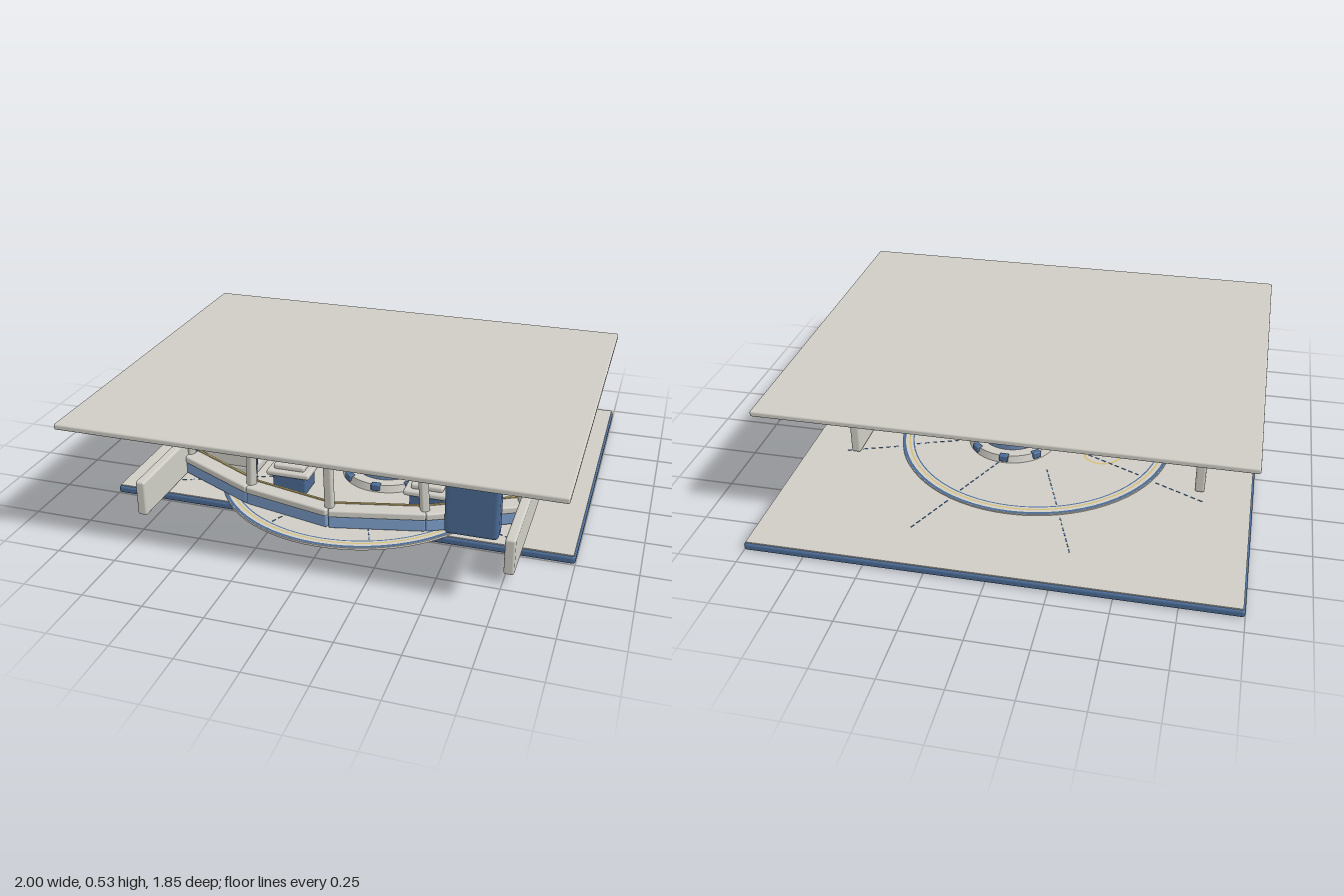
import * as THREE from 'three';
import { RoundedBoxGeometry } from 'three/addons/geometries/RoundedBoxGeometry.js';

const mat = (name, color) => {
  const m = new THREE.MeshStandardMaterial({ color });
  m.name = name;
  return m;
};

export function createModel() {
  const root = new THREE.Group();
  root.name = 'observationDeck';
  const grey = mat('warm grey', 0xcfcdc5);
  const navy = mat('navy', 0x4a6a94);
  const blue = mat('light blue', 0x7a9cc8);
  const gold = mat('gold', 0xd4bd74);

  const add = (name, geo, m, x, y, z, parent = root) => {
    const mesh = new THREE.Mesh(geo, m);
    mesh.name = name;
    mesh.position.set(x, y, z);
    parent.add(mesh);
    return mesh;
  };
  // box given by its limits, rounded when r is set
  const block = (name, m, x0, x1, y0, y1, z0, z1, r = 0) => {
    const s = [x1 - x0, y1 - y0, z1 - z0];
    const geo = r ? new RoundedBoxGeometry(...s, 2, r) : new THREE.BoxGeometry(...s);
    return add(name, geo, m, (x0 + x1) / 2, (y0 + y1) / 2, (z0 + z1) / 2);
  };
  // rounded bar running from a to b
  const bar = (name, m, a, b, w, h, r = 0.008) => {
    const geo = new RoundedBoxGeometry(w, h, a.distanceTo(b) + r, 2, r);
    const mesh = add(name, geo, m, (a.x + b.x) / 2, (a.y + b.y) / 2, (a.z + b.z) / 2);
    mesh.lookAt(b);
    return mesh;
  };
  const drum = (name, m, r0, r1, y0, y1, x, z, n = 48) =>
    add(name, new THREE.CylinderGeometry(r1, r0, y1 - y0, n), m, x, (y0 + y1) / 2, z);
  const flatRing = (name, m, r0, r1, x, y, z) => {
    const mesh = add(name, new THREE.RingGeometry(r0, r1, 72), m, x, y, z);
    mesh.rotation.x = -Math.PI / 2;
    return mesh;
  };

  // floor slab and roof
  block('floorSlab', navy, -1, 1, 0, 0.034, -0.925, 0.5, 0.012);
  block('floorCover', grey, -0.992, 0.992, 0.03, 0.038, -0.917, 0.492);
  block('roof', grey, -1, 1, 0.505, 0.53, -0.712, 0.925, 0.008);

  // side walls and ceiling light strips
  for (const s of [-1, 1]) {
    const x = s * 0.772;
    block('sideWall', grey, x - 0.021, x + 0.021, 0.042, 0.198, -0.21, 0.712, 0.01);
    block('ceilingLight', gold, s * 0.57 - 0.007, s * 0.57 + 0.007, 0.5, 0.506, -0.245, 0.56);
  }

  // round deck with inlaid rings
  const deckZ = 0.1;
  drum('roundDeck', grey, 0.62, 0.62, 0.034, 0.044, 0, deckZ, 72);
  flatRing('outerRing', navy, 0.605, 0.618, 0, 0.0452, deckZ);
  flatRing('goldRing', gold, 0.582, 0.59, 0, 0.0452, deckZ);
  flatRing('innerRing', navy, 0.566, 0.572, 0, 0.0452, deckZ);
  flatRing('floorMarker', gold, 0.078, 0.088, -0.32, 0.0455, 0);

  // dashed spokes
  for (let i = 0; i < 8; i++) {
    const a = ((i * 45 + 20) * Math.PI) / 180;
    for (let r = 0.3; r < 0.88; r += 0.035) {
      const x = Math.cos(a) * r, z = deckZ - Math.sin(a) * r;
      const onDeck = r < 0.56;
      if (!onDeck && (r < 0.64 || z > 0.48)) continue;
      const dash = add('floorDash', new THREE.BoxGeometry(0.02, 0.002, 0.005), navy, x, onDeck ? 0.045 : 0.039, z);
      dash.rotation.y = a;
    }
  }

  // faceted window front: panels, sill, posts and head beam
  const V = (x, y, z) => new THREE.Vector3(x, y, z);
  const base = [[-0.75, 0.28], [-0.38, 0.465], [0, 0.55], [0.38, 0.465], [0.75, 0.28]];
  const head = [[-0.708, 0.305], [-0.358, 0.48], [0, 0.575], [0.358, 0.48], [0.708, 0.305]];
  base.forEach(([x, z], i) => {
    const [hx, hz] = head[i];
    bar('windowPost', grey, V(x, 0.11, z), V(hx, 0.49, hz), 0.037, 0.037, 0.01);
    bar('postLining', navy, V(x * 0.98, 0.13, z - 0.018), V(hx * 0.98, 0.485, hz - 0.018), 0.018, 0.018, 0.004);
    if (i === 4) return;
    const [nx, nz] = base[i + 1], [mx, mz] = head[i + 1];
    bar('frontPanel', blue, V(x, 0.072, z), V(nx, 0.072, nz), 0.075, 0.056);
    bar('sillRail', grey, V(x, 0.113, z), V(nx, 0.113, nz), 0.085, 0.032);
    bar('sillTrim', gold, V(x * 0.96, 0.131, z - 0.025), V(nx * 0.96, 0.131, nz - 0.025), 0.01, 0.006, 0.002);
    bar('headBeam', grey, V(hx, 0.475, hz), V(mx, 0.475, mz), 0.035, 0.038);
  });

  // tall cabinet with its inner door and cap
  block('cabinet', navy, 0.465, 0.69, 0.048, 0.385, 0.418, 0.5, 0.02);
  block('cabinetDoor', grey, 0.485, 0.67, 0.07, 0.36, 0.372, 0.42, 0.012);
  block('cabinetCap', navy, 0.49, 0.655, 0.375, 0.396, 0.38, 0.45, 0.008);

  // round chart table with a ring of small feet
  const tx = 0.1, tz = 0.04;
  drum('tableFoot', grey, 0.2, 0.19, 0.044, 0.075, tx, tz);
  drum('tableBody', blue, 0.14, 0.15, 0.075, 0.13, tx, tz);
  drum('tableTop', navy, 0.175, 0.175, 0.13, 0.147, tx, tz);
  flatRing('tableRim', blue, 0.145, 0.168, tx, 0.1482, tz);
  for (let i = 0; i < 8; i++) {
    const a = (i * Math.PI) / 4;
    const foot = add('tableControl', new RoundedBoxGeometry(0.03, 0.03, 0.04, 2, 0.005), navy,
      tx + Math.cos(a) * 0.19, 0.066, tz - Math.sin(a) * 0.19);
    foot.rotation.y = a;
  }
  // small markers standing on the table
  for (let i = 0; i < 10; i++) {
    const h = 0.02 + 0.018 * ((i * 7) % 5) / 4;
    const x = 0.02 + i * 0.018, z = tz + 0.07 * Math.sin(i * 2.3);
    drum('tableMarker', i % 3 ? gold : grey, 0.007, 0.005, 0.147, 0.147 + h, x, z, 10);
  }

  // two low consoles behind the windows
  for (const x of [-0.251, 0.358]) {
    block('consoleBase', navy, x - 0.075, x + 0.075, 0.044, 0.13, 0.24, 0.36, 0.008);
    block('consoleDeck', grey, x - 0.097, x + 0.097, 0.128, 0.154, 0.22, 0.38, 0.01);
    block('consoleTop', grey, x - 0.07, x + 0.07, 0.152, 0.178, 0.26, 0.36, 0.01);
  }

  // bench with three cushions
  block('benchBase', grey, -0.7, -0.45, 0.044, 0.085, 0.06, 0.26, 0.01);
  block('benchBack', grey, -0.7, -0.45, 0.08, 0.145, 0.215, 0.26, 0.01);
  for (let i = 0; i < 3; i++) {
    const x = -0.65 + i * 0.078;
    block('seatCushion', gold, x - 0.035, x + 0.035, 0.083, 0.115, 0.07, 0.18, 0.01);
    block('backCushion', gold, x - 0.035, x + 0.035, 0.1, 0.175, 0.18, 0.22, 0.01);
  }
  block('benchArm', gold, -0.735, -0.7, 0.08, 0.145, 0.07, 0.25, 0.01);

  return root;
}
